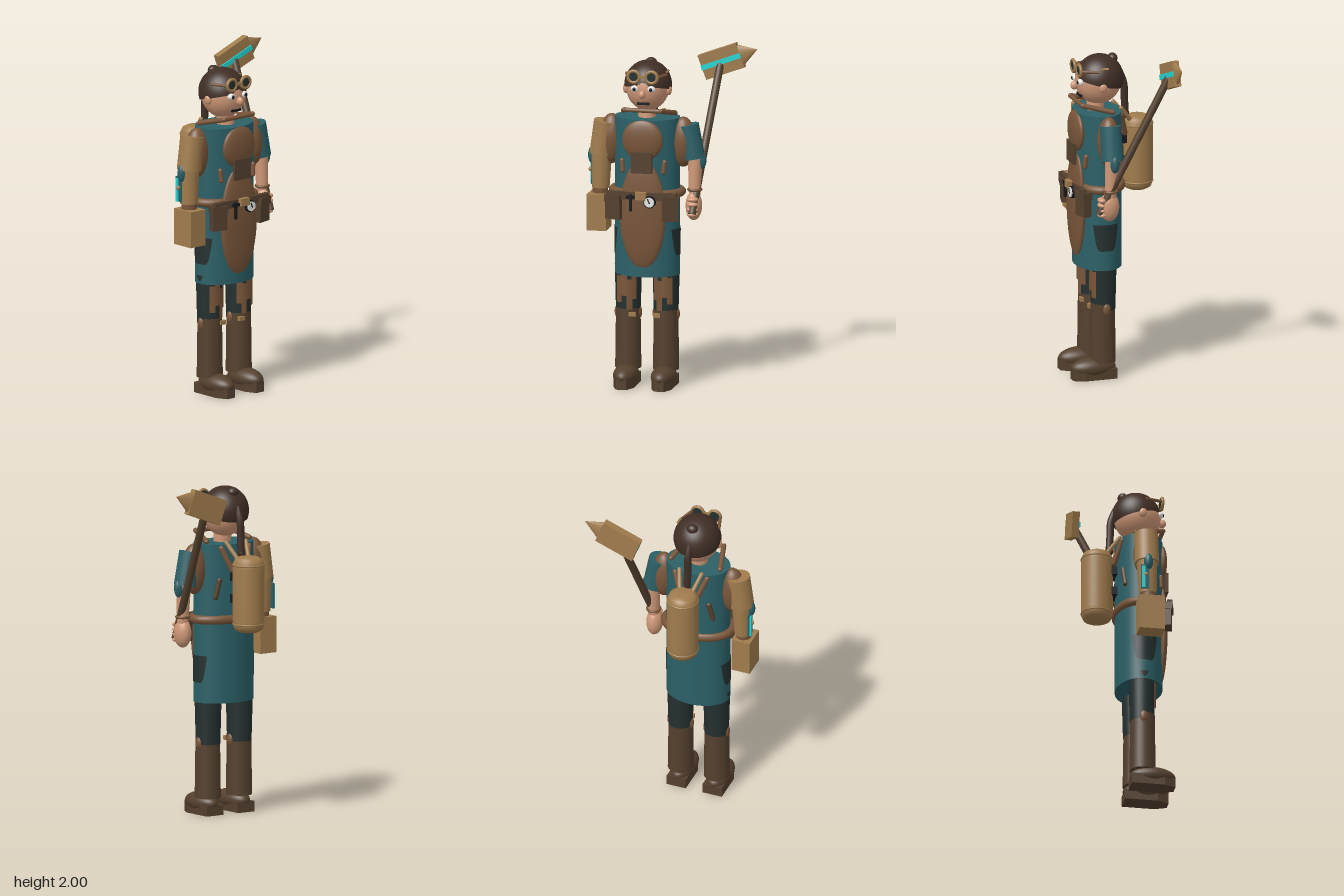
import * as THREE from 'three';

const M = (color, double) => new THREE.MeshStandardMaterial({ color, side: double ? THREE.DoubleSide : THREE.FrontSide });
const mats = {
  teal: M(0x2b6067), leather: M(0x785539), darkLeather: M(0x54402e), hair: M(0x402e25, true), brass: M(0xa07c4d),
  skin: M(0xcf9877), charcoal: M(0x24302f, true), cyan: M(0x25d5d2), white: M(0xe6e6e4), black: M(0x17191b),
};
for (const k in mats) mats[k].name = k;

const CX = -0.115, CZ = 0.075; // axis of the body
const V = (a) => new THREE.Vector3(...a);

export function createModel() {
  const root = new THREE.Group();
  root.name = 'tinkerer';

  const add = (name, geo, mat, pos = [0, 0, 0], rot = [0, 0, 0], parent = root) => {
    const m = new THREE.Mesh(geo, mats[mat]);
    m.name = name;
    m.position.set(...pos);
    m.rotation.set(...rot);
    parent.add(m);
    return m;
  };
  const ball = (name, mat, pos, r, rot) =>
    add(name, new THREE.SphereGeometry(1, 32, 20).scale(...r), mat, pos, rot);
  const box = (name, mat, pos, size, rot, parent) =>
    add(name, new THREE.BoxGeometry(...size), mat, pos, rot, parent);
  // tapered rod between two points
  const rod = (name, mat, a, b, ra, rb = ra, round = false) => {
    const d = V(b).sub(V(a)), len = d.length();
    const geo = round ? new THREE.CapsuleGeometry(ra, len, 6, 16) : new THREE.CylinderGeometry(rb, ra, len, 28);
    const m = add(name, geo, mat, V(a).add(V(b)).multiplyScalar(0.5).toArray());
    m.quaternion.setFromUnitVectors(new THREE.Vector3(0, 1, 0), d.normalize());
    return m;
  };
  // thin patch wrapped on an upright oval; width(v) shapes it from bottom 0 to top 1
  const patch = (name, mat, [cx, cz], [rx, rz], [y0, y1], mid, sweep, width = () => 1) => {
    const geo = new THREE.PlaneGeometry(1, 1, 16, 8), p = geo.attributes.position;
    for (let i = 0; i < p.count; i++) {
      const v = p.getY(i) + 0.5, t = mid + p.getX(i) * sweep * width(v);
      p.setXYZ(i, cx + rx * Math.sin(t), y0 + (y1 - y0) * v, cz + rz * Math.cos(t));
    }
    geo.computeVertexNormals();
    return add(name, geo, mat);
  };

  // Tunic, belt and apron
  const tunic = (name, y0, y1) =>
    add(name, new THREE.CylinderGeometry(1, 1, y1 - y0, 48).scale(0.194, 1, 0.138), 'teal', [CX, (y0 + y1) / 2, CZ]);
  tunic('tunicTop', 1.16, 1.61);
  tunic('tunicSkirt', 0.67, 1.16);
  add('belt', new THREE.TorusGeometry(1, 0.13, 12, 56).rotateX(Math.PI / 2).scale(0.203, 0.2, 0.138), 'leather', [CX, 1.165, CZ]);
  ball('apronBib', 'leather', [CX, 1.49, 0.205], [0.122, 0.122, 0.033]);
  ball('apronSkirt', 'leather', [CX, 1.045, 0.205], [0.138, 0.325, 0.035]);
  box('apronPocket', 'darkLeather', [CX, 1.36, 0.232], [0.125, 0.125, 0.02]);
  box('beltFront', 'darkLeather', [CX, 1.16, 0.225], [0.42, 0.045, 0.03]);
  box('buckle', 'brass', [CX, 1.165, 0.25], [0.065, 0.045, 0.03]);
  for (const s of [-1, 1]) {
    box('pouch', 'darkLeather', [CX + s * 0.168, 1.08, 0.215], [0.095, 0.13, 0.05], [0, s * 0.25, 0]);
    box('pouchFlap', 'darkLeather', [CX + s * 0.17, 1.14, 0.217], [0.1, 0.045, 0.062], [0, s * 0.25, 0]);
    rod('chestTool', 'leather', [CX + s * 0.122, 1.3, 0.19], [CX + s * 0.128, 1.36, 0.185], 0.014, 0.014, true);
    patch('skirtPocket', 'charcoal', [CX, CZ], [0.197, 0.141], [0.79, 0.95], s * 1.53, 1.12, (v) => 0.55 + 0.45 * Math.sqrt(v));
    // shoulder joint, collar and back harness
    ball('shoulder', 'leather', [CX + s * 0.215, 1.465, CZ], [0.075, 0.15, 0.068]);
    rod('collarStrap', 'leather', [CX + s * 0.155, 1.625, 0.03], [CX + s * 0.11, 1.668, 0.2], 0.015, 0.015, true);
    rod('backStrap', 'leather', [CX + s * 0.1, 1.59, -0.04], [CX + s * 0.05, 1.46, -0.08], 0.016, 0.016, true);
    rod('backBrace', 'darkLeather', [CX + s * 0.13, 1.3, -0.025], [CX + s * 0.11, 1.4, -0.035], 0.016, 0.016, true);
    rod('tankPipe', 'brass', [CX + s * 0.04, 1.53, -0.12], [CX + s * 0.07, 1.62, -0.05], 0.013, 0.013, true);
  }
  rod('collarFront', 'leather', [CX - 0.1, 1.667, 0.2], [CX + 0.1, 1.667, 0.2], 0.013, 0.013, true);

  // Belt gauge and hanging tool
  const disc = (name, mat, r, z, h) =>
    add(name, new THREE.CylinderGeometry(r, r, h, 28).rotateX(Math.PI / 2), mat, [-0.063, 1.13, z]);
  disc('gaugeCase', 'black', 0.036, 0.24, 0.03);
  disc('gaugeDial', 'white', 0.029, 0.258, 0.008);
  box('gaugeNeedle', 'black', [-0.066, 1.138, 0.264], [0.006, 0.032, 0.004], [0, 0, 0.4]);
  box('hangingTool', 'black', [-0.178, 1.12, 0.25], [0.015, 0.1, 0.015]);
  box('hangingToolHead', 'black', [-0.178, 1.155, 0.25], [0.045, 0.018, 0.018]);

  // Legs and boots
  for (const x of [-0.23, -0.003]) {
    rod('trouserLeg', 'charcoal', [x, 0.42, CZ], [x, 0.72, CZ], 0.072, 0.08);
    const strips = [[-0.5, 0.5, 0.66], [-0.1, 0.54, 0.68], [0.3, 0.46, 0.64], [0.65, 0.52, 0.68]];
    for (const [t, y0, y1] of strips)
      patch('thighPatch', 'leather', [x, CZ], [0.082, 0.082], [y0, y1], x < CX ? t : -t, 0.42);
    rod('bootShaft', 'darkLeather', [x, 0.1, CZ + 0.003], [x, 0.46, CZ + 0.003], 0.077, 0.072);
    for (const s of [-1, 1]) ball('kneeKnob', 'leather', [x + s * 0.062, 0.43, CZ], [0.02, 0.04, 0.025]);
    box('bootClasp', 'brass', [x + (x < CX ? 0.04 : -0.04), 0.43, 0.145], [0.04, 0.025, 0.02]);
    ball('bootFoot', 'darkLeather', [x, 0.068, 0.137], [0.072, 0.06, 0.137]);
    // sole with a chamfered toe
    const sole = new THREE.Shape([[-0.06, 0.005], [0.06, 0.005], [0.06, 0.2], [0.03, 0.268], [-0.03, 0.268], [-0.06, 0.2]]
      .map(([a, b]) => new THREE.Vector2(a, -b)));
    add('bootSole', new THREE.ExtrudeGeometry(sole, { depth: 0.062, bevelEnabled: false }).rotateX(-Math.PI / 2), 'darkLeather', [x, 0, 0]);
  }

  // Head
  rod('neck', 'skin', [CX, 1.58, 0.09], [CX, 1.7, 0.08], 0.052);
  ball('head', 'skin', [CX, 1.785, 0.068], [0.127, 0.142, 0.138]);
  add('hairCap', new THREE.SphereGeometry(1, 40, 20, 0, Math.PI * 2, 0, Math.PI * 0.55).scale(0.14, 0.145, 0.143),
    'hair', [CX, 1.795, 0.06], [-0.25, 0, 0]);
  ball('hairBun', 'hair', [CX, 1.91, -0.02], [0.035, 0.03, 0.03]);
  const tail = new THREE.CatmullRomCurve3([[CX, 1.83, -0.06], [CX, 1.75, -0.09], [CX, 1.65, -0.095], [CX, 1.56, -0.1]].map(V));
  add('ponytail', new THREE.TubeGeometry(tail, 20, 0.022, 12), 'hair');
  ball('ponytailTip', 'hair', [CX, 1.56, -0.1], [0.022, 0.03, 0.022]);
  box('hairClip', 'brass', [CX + 0.118, 1.88, 0.065], [0.012, 0.012, 0.045], [0, 0, 0.6]);
  ball('nose', 'skin', [CX, 1.765, 0.213], [0.02, 0.026, 0.026]);
  box('mouth', 'black', [CX, 1.705, 0.184], [0.072, 0.014, 0.012]);
  for (const s of [-1, 1]) {
    ball('ear', 'skin', [CX + s * 0.128, 1.77, 0.078], [0.018, 0.03, 0.025]);
    ball('eye', 'white', [CX + s * 0.05, 1.795, 0.193], [0.024, 0.02, 0.02]);
    ball('pupil', 'black', [CX + s * 0.05, 1.795, 0.211], [0.01, 0.012, 0.006]);
    // goggles
    const gx = CX + s * 0.054;
    add('goggleRing', new THREE.TorusGeometry(0.034, 0.01, 12, 32), 'brass', [gx, 1.868, 0.203]);
    add('goggleLens', new THREE.CylinderGeometry(0.032, 0.032, 0.016, 28).rotateX(Math.PI / 2), 'charcoal', [gx, 1.868, 0.2]);
    rod('goggleStrap', 'leather', [CX + s * 0.09, 1.868, 0.195], [CX + s * 0.12, 1.865, 0.1], 0.009);
  }
  box('goggleBridge', 'brass', [CX, 1.868, 0.205], [0.035, 0.014, 0.014]);

  // Left arm, holding the staff
  rod('leftSleeve', 'teal', [0.165, 1.37, CZ], [0.13, 1.57, CZ], 0.066, 0.062);
  ball('leftElbow', 'teal', [0.207, 1.36, CZ], [0.032, 0.056, 0.027]);
  rod('leftForearm', 'skin', [0.172, 1.15, 0.09], [0.172, 1.4, CZ], 0.034, 0.044);
  add('leftWristband', new THREE.TorusGeometry(0.036, 0.009, 10, 28).rotateX(Math.PI / 2), 'leather', [0.172, 1.185, 0.088]);
  ball('leftHand', 'skin', [0.168, 1.09, 0.095], [0.048, 0.088, 0.06]);
  for (let i = 0; i < 4; i++) ball('finger', 'skin', [0.17, 1.045 + i * 0.03, 0.14], [0.034, 0.016, 0.028]);

  // Staff with a pointed, glowing head
  rod('staff', 'darkLeather', [0.172, 1.05, 0.16], [0.25, 1.88, -0.25], 0.023);
  const staffHead = new THREE.Group();
  staffHead.name = 'staffHead';
  staffHead.position.set(0.255, 1.885, -0.253);
  staffHead.rotation.z = 0.36;
  root.add(staffHead);
  box('staffBlock', 'brass', [0, 0, 0], [0.245, 0.152, 0.042], [0, 0, 0], staffHead);
  add('staffPoint', new THREE.ConeGeometry(0.064, 0.108, 24).rotateZ(-Math.PI / 2).scale(1, 1, 0.34),
    'brass', [0.176, 0, 0], [0, 0, 0], staffHead);
  box('staffGlow', 'cyan', [0, 0, 0.024], [0.25, 0.03, 0.008], [0, 0, 0], staffHead);

  // Right arm with brass gauntlet
  rod('rightShoulderPlate', 'brass', [-0.39, 1.37, CZ], [-0.365, 1.57, CZ], 0.072, 0.07);
  ball('rightElbow', 'teal', [-0.44, 1.36, CZ], [0.032, 0.056, 0.027]);
  rod('rightForearmPlate', 'brass', [-0.395, 1.17, CZ + 0.005], [-0.39, 1.4, CZ], 0.052, 0.062);
  rod('rightWrist', 'leather', [-0.397, 1.12, 0.085], [-0.397, 1.18, 0.085], 0.045);
  box('gauntlet', 'brass', [-0.402, 1.033, 0.095], [0.116, 0.215, 0.15]);
  box('gauntletPanel', 'teal', [-0.448, 1.26, 0.055], [0.012, 0.15, 0.05]);
  box('gauntletGlow', 'cyan', [-0.457, 1.255, 0.045], [0.008, 0.14, 0.02]);
  ball('gauntletKnob', 'brass', [-0.46, 1.27, 0.06], [0.012, 0.014, 0.012]);

  // Back tank
  const profile = [[0, 1.1], [0.055, 1.102], [0.08, 1.115], [0.091, 1.14], [0.093, 1.17], [0.093, 1.48],
    [0.091, 1.51], [0.08, 1.535], [0.055, 1.548], [0, 1.55]].map((p) => new THREE.Vector2(...p));
  add('tank', new THREE.LatheGeometry(profile, 40), 'brass', [CX, 0, -0.173]);
  for (const y of [1.15, 1.5])
    add('tankRing', new THREE.TorusGeometry(0.089, 0.007, 8, 40).rotateX(Math.PI / 2), 'brass', [CX, y, -0.173]);
  for (const y of [1.29, 1.42]) box('tankMount', 'black', [CX, y, -0.075], [0.1, 0.05, 0.04]);

  return root;
}
